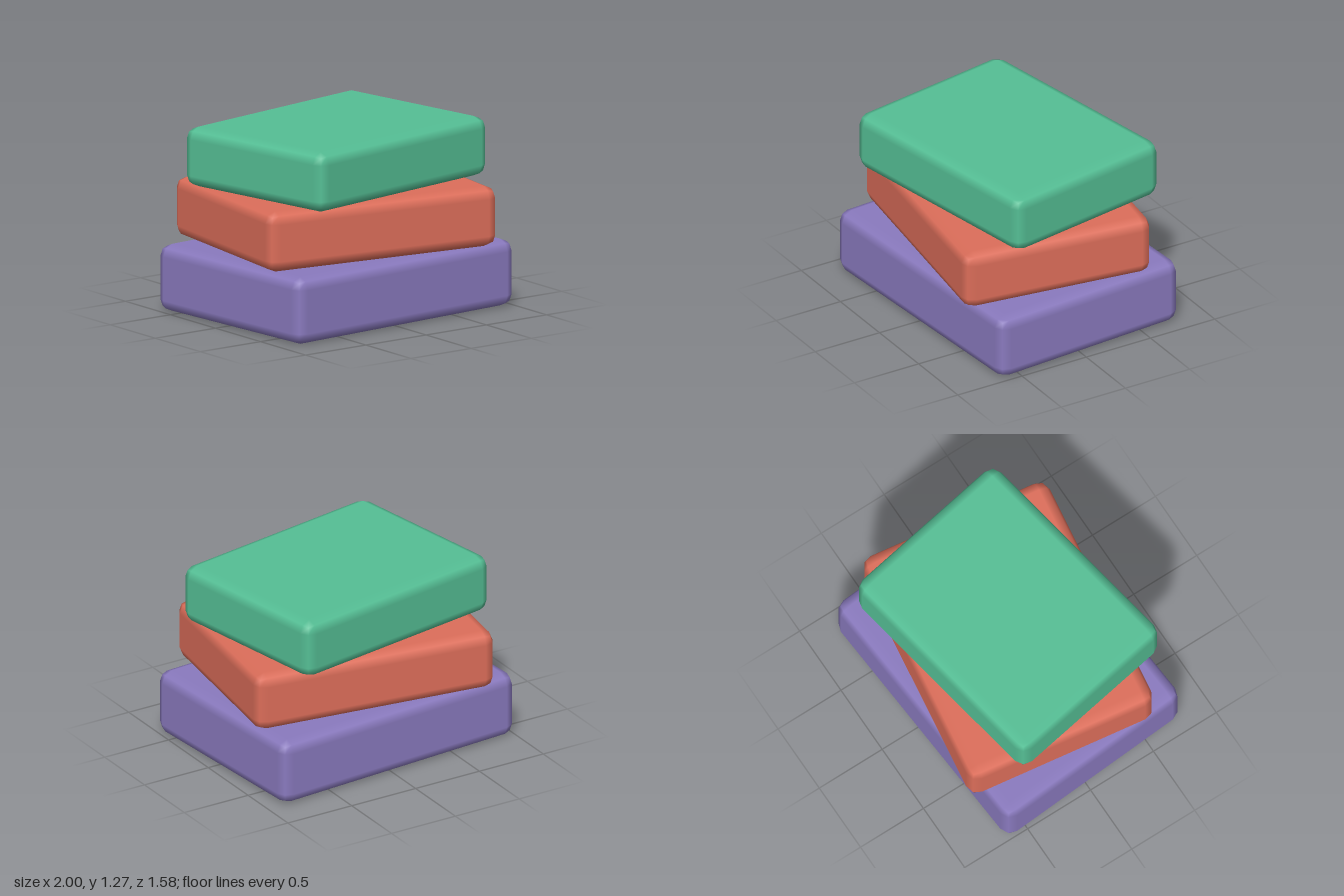
import * as THREE from 'three';
import { RoundedBoxGeometry } from 'three/addons/geometries/RoundedBoxGeometry.js';

const BEVEL = 0.08;

function flatColour(name, color) {
  const material = new THREE.MeshStandardMaterial({ color });
  material.name = name;
  return material;
}

export function createModel() {
  const model = new THREE.Group();
  model.name = 'blockStack';

  // Slabs from bottom to top, each twisted the other way
  const slabs = [
    { name: 'bottomSlab', width: 1.91, depth: 1.46, bottom: 0, top: 0.457, turn: 0.07, material: flatColour('purple', 0x8a7abf) },
    { name: 'middleSlab', width: 1.74, depth: 1.36, bottom: 0.457, top: 0.868, turn: -0.14, material: flatColour('coral', 0xdd6e5a) },
    { name: 'topSlab', width: 1.64, depth: 1.27, bottom: 0.868, top: 1.275, turn: 0.175, material: flatColour('green', 0x55bf95) },
  ];

  for (const { name, width, depth, bottom, top, turn, material } of slabs) {
    const geometry = new RoundedBoxGeometry(width, top - bottom, depth, 1, BEVEL);
    const slab = new THREE.Mesh(geometry, material);
    slab.name = name;
    slab.position.y = (bottom + top) / 2;
    slab.rotation.y = turn;
    model.add(slab);
  }
  return model;
}
